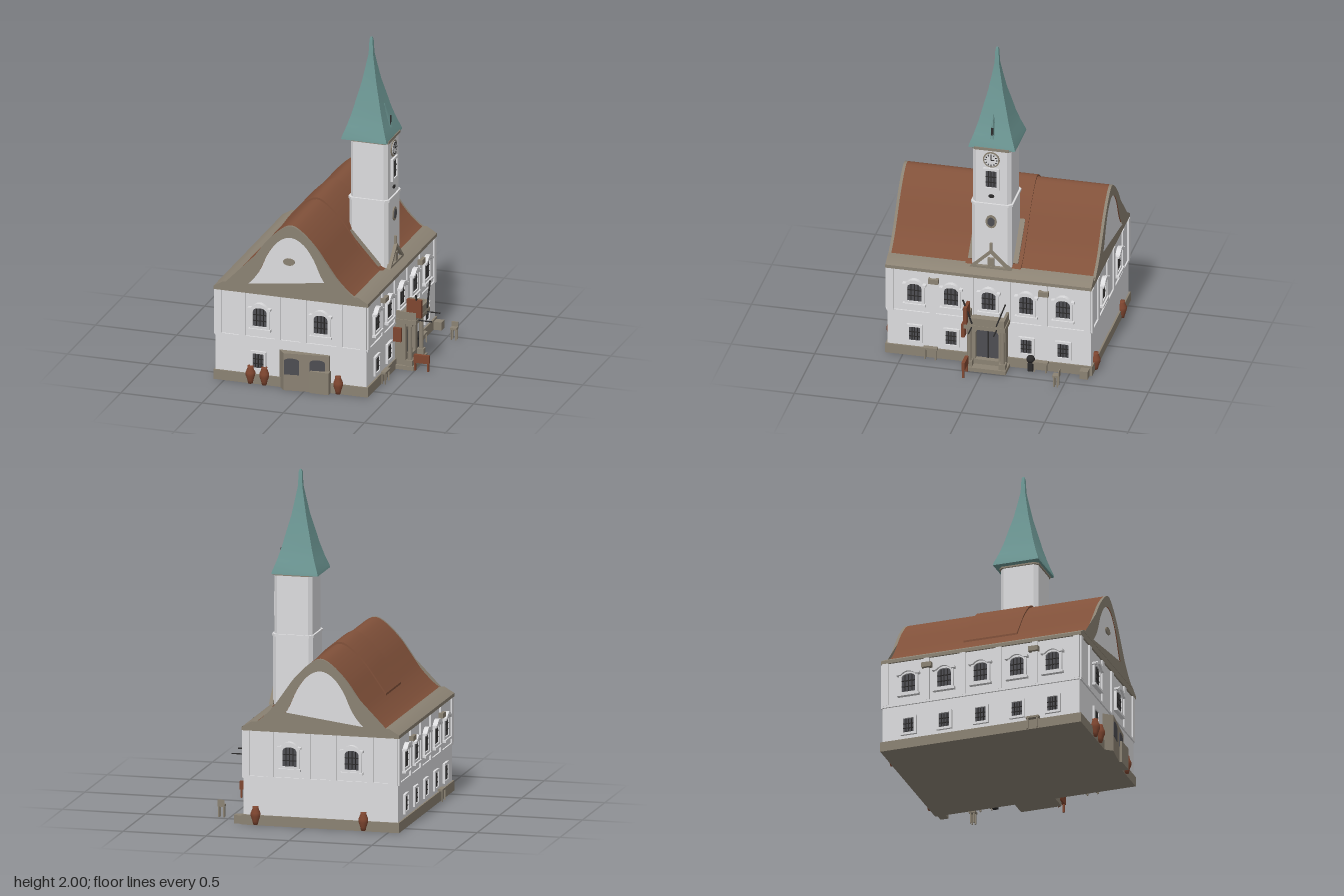
import * as THREE from 'three';
import { toCreasedNormals } from 'three/addons/utils/BufferGeometryUtils.js';

const mat = (name, color) => {
  const m = new THREE.MeshStandardMaterial({ color });
  m.name = name;
  return m;
};

export function createModel() {
  const model = new THREE.Group();
  model.name = 'townHall';
  const plaster = mat('white plaster', 0xdcdcde), stone = mat('grey stone', 0x8b8273);
  const tile = mat('roof tile', 0x81513a), copper = mat('green copper', 0x6c9693);
  const glass = mat('dark glass', 0x4e4e52), iron = mat('black iron', 0x2b2a2a);
  const wood = mat('red brown wood', 0x7f4630);

  const add = (parent, name, geo, material, x = 0, y = 0, z = 0) => {
    const m = new THREE.Mesh(geo, material);
    m.name = name;
    m.position.set(x, y, z);
    parent.add(m);
    return m;
  };
  const box = (parent, name, material, w, h, d, x, y, z) =>
    add(parent, name, new THREE.BoxGeometry(w, h, d), material, x, y, z);
  const extrude = (shape, depth) => toCreasedNormals(
    new THREE.ExtrudeGeometry(shape, { depth, bevelEnabled: false, curveSegments: 12 }), 0.6);

  // Half profile (distance from ridge, height) mirrored into a bell curve
  const ridgeX = -0.09;
  const bell = half => {
    const pts = [...half.map(([x, y]) => [ridgeX - x, y]),
      ...half.slice(0, -1).reverse().map(([x, y]) => [ridgeX + x, y])];
    return new THREE.SplineCurve(pts.map(p => new THREE.Vector2(...p))).getPoints(40);
  };
  const outerHalf = [[0.415, 0.6], [0.36, 0.635], [0.285, 0.71], [0.22, 0.8], [0.155, 0.89], [0.07, 0.975], [0, 1.01]];
  const innerHalf = [[0.29, 0.605], [0.245, 0.635], [0.19, 0.71], [0.145, 0.81], [0.095, 0.885], [0.045, 0.925], [0, 0.937]];
  const outer = bell(outerHalf), inner = bell(innerHalf);

  // Main block
  const cz = -0.015, halfX = 0.465, halfZ = 0.61;
  box(model, 'walls', plaster, 2 * halfX, 0.57, 2 * halfZ, ridgeX, 0.29, cz);
  box(model, 'plinth', stone, 2 * halfX + 0.02, 0.06, 2 * halfZ + 0.02, ridgeX, 0.03, cz);

  // Cornice with sloping top
  const cornice = new THREE.Shape([[-0.565, 0.56], [0.385, 0.56], [0.385, 0.58], [0.325, 0.615], [-0.505, 0.615], [-0.565, 0.58]]
    .map(p => new THREE.Vector2(...p)));
  add(model, 'cornice', extrude(cornice, 1.235), stone, 0, 0, -0.63);

  // Roof and gables
  add(model, 'roof', extrude(new THREE.Shape(outer), 1.21), tile, 0, 0, -0.62);
  const raised = outer.filter(p => p.x > -0.375 && p.x < 0.335).map(p => new THREE.Vector2(p.x, p.y + 0.012));
  raised.push(new THREE.Vector2(0.335, 0.6), new THREE.Vector2(-0.37, 0.6));
  add(model, 'raisedRoofSection', extrude(new THREE.Shape(raised), 0.33), tile, 0, 0, -0.19);
  const rim = new THREE.Shape(outer);
  rim.holes.push(new THREE.Path(inner));
  for (const [side, z] of [['front', 0.59], ['back', -0.637]]) {
    add(model, side + 'GableBorder', extrude(rim, 0.017), stone, 0, 0, z);
    add(model, side + 'Gable', extrude(new THREE.Shape(inner), 0.01), plaster, 0, 0, z + (z > 0 ? 0.001 : 0.006));
  }
  const badge = add(model, 'gableOval', new THREE.CylinderGeometry(1, 1, 0.01, 20), stone, -0.1, 0.785, 0.604);
  badge.rotation.x = Math.PI / 2;
  badge.scale.set(0.036, 1, 0.022);

  // Outline with an arched top, standing on y = 0
  const arch = (Type, w, h, rise, y0 = 0) => {
    const s = new Type();
    s.moveTo(-w / 2, y0).lineTo(w / 2, y0).lineTo(w / 2, y0 + h - rise);
    s.quadraticCurveTo(w / 2, y0 + h, 0, y0 + h).quadraticCurveTo(-w / 2, y0 + h, -w / 2, y0 + h - rise);
    s.closePath();
    return s;
  };
  const windowAt = (parent, u, y, w, h, arched) => {
    const g = new THREE.Group();
    g.name = arched ? 'upperWindow' : 'lowerWindow';
    g.position.set(u, y, 0);
    parent.add(g);
    const rise = arched ? 0.03 : 0.002;
    add(g, 'pane', extrude(arch(THREE.Shape, w, h, rise), 0.006), glass);
    const frame = arch(THREE.Shape, w + 0.03, h + 0.03, rise, -0.015);
    frame.holes.push(arch(THREE.Path, w, h, rise));
    add(g, 'frame', extrude(frame, 0.014), plaster);
    for (const t of [-0.25, 0, 0.25]) box(g, 'upright', iron, 0.005, h - 0.01, 0.004, t * w, h / 2, 0.008);
    for (const t of [0.3, 0.62]) box(g, 'crossbar', iron, w, 0.005, 0.004, 0, t * h, 0.008);
    if (!arched) return;
    // Curved hood and sill
    const hood = new THREE.Shape();
    hood.moveTo(-0.07, 0.105).lineTo(-0.045, 0.105).quadraticCurveTo(0, 0.15, 0.045, 0.105).lineTo(0.07, 0.105)
      .lineTo(0.07, 0.118).lineTo(0.05, 0.12).quadraticCurveTo(0, 0.175, -0.05, 0.12).lineTo(-0.07, 0.118);
    add(g, 'hood', extrude(hood, 0.028), plaster);
    box(g, 'sill', plaster, w + 0.05, 0.014, 0.024, 0, -0.02, 0.012);
  };

  // Each wall: windows, pilaster strips and a string course
  const rows = [-0.445, -0.225, 0, 0.225, 0.445];
  const sides = [
    ['front', 0, ridgeX, cz + halfZ, halfX, [-0.19, 0.185], [-0.2]],
    ['back', Math.PI, ridgeX, cz - halfZ, halfX, [-0.185, 0.19], []],
    ['left', Math.PI / 2, ridgeX + halfX, cz, halfZ, rows, [-0.445, -0.225, 0.225, 0.445]],
    ['right', -Math.PI / 2, ridgeX - halfX, cz, halfZ, rows, rows],
  ];
  for (const [name, turn, x, z, half, upper, lower] of sides) {
    const wall = new THREE.Group();
    wall.name = name + 'WallDetails';
    wall.position.set(x, 0, z);
    wall.rotation.y = turn;
    model.add(wall);
    upper.forEach(u => windowAt(wall, u, 0.36, 0.085, 0.115, true));
    lower.forEach(u => windowAt(wall, u, 0.1, 0.066, 0.09, false));
    box(wall, 'stringCourse', plaster, 2 * half, 0.014, 0.012, 0, 0.285, 0.003);
    const strips = upper.length > 2 ? [-0.335, -0.112, 0.112, 0.335] : [-0.3, -0.08, 0.08, 0.3];
    strips.push(-half + 0.02, half - 0.02);
    strips.forEach(u => box(wall, 'pilaster', plaster, 0.036, 0.27, 0.014, u, 0.425, 0.003));
    if (upper.length > 2) for (const u of [-0.33, 0.33]) box(wall, 'bracket', stone, 0.06, 0.03, 0.03, u, 0.51, 0.014);
  }

  // Tower with cut corners
  const tx = 0.213, tz = -0.018;
  const shaft = (name, half, y0, y1, material) => {
    const c = half - 0.022;
    const s = new THREE.Shape([[half, c], [c, half], [-c, half], [-half, c], [-half, -c], [-c, -half], [c, -half], [half, -c]]
      .map(p => new THREE.Vector2(...p)));
    add(model, name, extrude(s, y1 - y0), material, tx, y0, tz).rotation.x = -Math.PI / 2;
  };
  shaft('towerBase', 0.12, 0.57, 1.03, plaster);
  shaft('towerBand', 0.126, 1.022, 1.036, plaster);
  shaft('towerTop', 0.115, 1.03, 1.39, plaster);
  shaft('towerCornice', 0.123, 1.385, 1.402, stone);
  for (const s of [-1, 1]) {
    const flash = box(model, 'roofFlashing', stone, 0.27, 0.008, 0.03, 0.2, 0.735, tz + s * 0.135);
    flash.rotation.z = -0.84;
  }

  // Concave four sided spire
  const spirePts = [[0, 1.395], [0.14, 1.395], [0.137, 1.41], [0.113, 1.475], [0.09, 1.55], [0.068, 1.64],
    [0.045, 1.73], [0.028, 1.82], [0.018, 1.9], [0.013, 1.985], [0.007, 2], [0, 2]]
    .map(([r, y]) => new THREE.Vector2(r * Math.SQRT2 * (r < 0.02 ? 0.75 : 1), y));
  const spire = toCreasedNormals(new THREE.LatheGeometry(spirePts, 4).rotateY(Math.PI / 4), 0.6);
  add(model, 'spire', spire, copper, 0.193, 0, -0.02);
  const dormer = add(model, 'spireDormer', new THREE.ConeGeometry(0.028, 0.15, 4), copper, 0.286, 1.525, -0.018);
  dormer.rotation.z = 0.15;
  box(model, 'dormerSlit', iron, 0.006, 0.07, 0.012, 0.311, 1.49, -0.018);

  // Tower face details
  const face = new THREE.Group();
  face.name = 'towerFace';
  face.position.set(tx + 0.115, 0, tz);
  face.rotation.y = Math.PI / 2;
  model.add(face);
  const disc = (name, r, ry, y, z, material) => {
    const m = add(face, name, new THREE.CylinderGeometry(1, 1, 0.006, 24), material, 0, y, z);
    m.rotation.x = Math.PI / 2;
    m.scale.set(r, 1, ry);
  };
  disc('clockRim', 0.05, 0.05, 1.325, 0.003, stone);
  disc('clockDial', 0.042, 0.042, 1.325, 0.006, plaster);
  for (let i = 0; i < 12; i++) {
    const a = i * Math.PI / 6;
    box(face, 'hourMark', iron, 0.005, 0.01, 0.003, Math.sin(a) * 0.034, 1.325 + Math.cos(a) * 0.034, 0.01).rotation.z = -a;
  }
  box(face, 'minuteHand', iron, 0.005, 0.03, 0.003, 0, 1.338, 0.01);
  box(face, 'hourHand', iron, 0.022, 0.005, 0.003, 0.01, 1.325, 0.01);
  windowAt(face, 0, 1.145, 0.066, 0.11, false);
  disc('smallOval', 0.017, 0.011, 1.085, 0.004, iron);
  disc('ovalFrame', 0.033, 0.042, 0.918, 0.008, stone);
  disc('ovalGlass', 0.022, 0.028, 0.918, 0.011, glass);

  // Small pediment at the foot of the tower
  const ped = new THREE.Shape([[-0.125, 0.615], [0.125, 0.615], [0, 0.735]].map(p => new THREE.Vector2(...p)));
  ped.holes.push(new THREE.Path([[-0.09, 0.628], [0.09, 0.628], [0, 0.713]].map(p => new THREE.Vector2(...p))));
  add(face, 'pediment', extrude(ped, 0.025), stone);
  box(face, 'pedimentPost', stone, 0.04, 0.06, 0.02, 0, 0.65, 0.012);
  box(face, 'finial', stone, 0.014, 0.05, 0.014, 0, 0.755, 0.014);

  // Entrance porch with balcony
  const porch = new THREE.Group();
  porch.name = 'porch';
  porch.position.set(0.375, 0, -0.018);
  porch.rotation.y = Math.PI / 2;
  model.add(porch);
  const portal = arch(THREE.Shape, 0.22, 0.3, 0.002);
  portal.holes.push(arch(THREE.Path, 0.14, 0.21, 0.05, 0.055));
  add(porch, 'portal', extrude(portal, 0.065), stone);
  add(porch, 'door', extrude(arch(THREE.Shape, 0.14, 0.21, 0.05, 0.055), 0.03), glass);
  box(porch, 'doorSplit', iron, 0.007, 0.2, 0.006, 0, 0.15, 0.032);
  box(porch, 'step', stone, 0.25, 0.025, 0.12, 0, 0.0125, 0.06);
  box(porch, 'balconyFloor', stone, 0.25, 0.025, 0.135, 0, 0.3, 0.0675);
  box(porch, 'balconyFront', stone, 0.24, 0.05, 0.015, 0, 0.335, 0.125);
  for (const s of [-1, 1]) {
    add(porch, 'column', new THREE.CylinderGeometry(0.012, 0.014, 0.25, 12), stone, s * 0.1, 0.16, 0.09);
    box(porch, 'columnBase', stone, 0.04, 0.06, 0.04, s * 0.1, 0.03, 0.09);
    box(porch, 'columnHead', stone, 0.036, 0.02, 0.036, s * 0.1, 0.28, 0.09);
    box(porch, 'balconySide', stone, 0.015, 0.05, 0.12, s * 0.112, 0.335, 0.06);
    const pole = box(porch, 'flagPole', iron, 0.008, 0.16, 0.008, s * 0.1, 0.4, 0.135);
    pole.rotation.z = -s * 0.35;
    box(porch, 'bannerArm', iron, 0.006, 0.006, 0.09, s * 0.075, 0.3, 0.17);
  }
  box(model, 'hangingBanner', wood, 0.09, 0.11, 0.02, 0.495, 0.385, 0.09);
  box(model, 'sideBanner', wood, 0.05, 0.085, 0.02, 0.405, 0.225, 0.13);
  box(model, 'crate', wood, 0.095, 0.05, 0.02, 0.54, 0.075, 0.09);
  for (const x of [0.5, 0.58]) box(model, 'crateLeg', wood, 0.01, 0.05, 0.014, x, 0.025, 0.09);

  // Front gate shed, slightly turned, with a lower box beside it
  const gate = new THREE.Shape([[-0.165, -0.59], [0.15, -0.59], [0.15, -0.612], [-0.12, -0.648]].map(p => new THREE.Vector2(...p)).reverse());
  add(model, 'gateShed', extrude(gate, 0.23), stone).rotation.x = -Math.PI / 2;
  for (const [x, z] of [[-0.072, 0.643], [0.08, 0.623]]) {
    const pane = add(model, 'gateOpening', extrude(arch(THREE.Shape, 0.09, 0.1, 0.02), 0.004), glass, x, 0.1, z - 0.002);
    pane.rotation.y = 0.133;
  }
  box(model, 'gateBox', stone, 0.115, 0.135, 0.05, 0.098, 0.0675, 0.618);

  // Jars around the walls
  const jar = [[0, 0], [0.014, 0], [0.018, 0.02], [0.028, 0.05], [0.028, 0.07], [0.017, 0.098], [0.018, 0.108], [0, 0.108]]
    .map(p => new THREE.Vector2(...p));
  for (const [x, z] of [[-0.335, 0.612], [-0.25, 0.612], [0.205, 0.612], [-0.35, -0.635], [0.3, -0.635]])
    add(model, 'jar', new THREE.LatheGeometry(jar, 16), wood, x, 0.005, z);

  // Benches, stool, kettle and stone block
  const trestle = (name, x, z, w, d, h) => {
    box(model, name + 'Top', stone, w, 0.012, d, x, h, z);
    for (const sx of [-1, 1]) for (const sz of [-1, 1])
      box(model, name + 'Leg', stone, 0.008, h, 0.008, x + sx * (w / 2 - 0.006), h / 2, z + sz * (d / 2 - 0.01));
  };
  trestle('bench', 0.4, 0.33, 0.03, 0.085, 0.07);
  trestle('table', 0.4, -0.33, 0.035, 0.09, 0.06);
  trestle('stool', 0.55, -0.46, 0.04, 0.04, 0.07);
  box(model, 'stoolBack', stone, 0.04, 0.03, 0.006, 0.55, 0.09, -0.477);
  trestle('rearBench', -0.57, 0.31, 0.03, 0.08, 0.07);
  add(model, 'kettle', new THREE.SphereGeometry(0.025, 14, 10), iron, 0.4, 0.075, -0.27);
  box(model, 'kettleStand', iron, 0.03, 0.05, 0.03, 0.4, 0.025, -0.27);
  box(model, 'stoneBlock', stone, 0.06, 0.05, 0.05, 0.405, 0.025, -0.595);
  return model;
}
